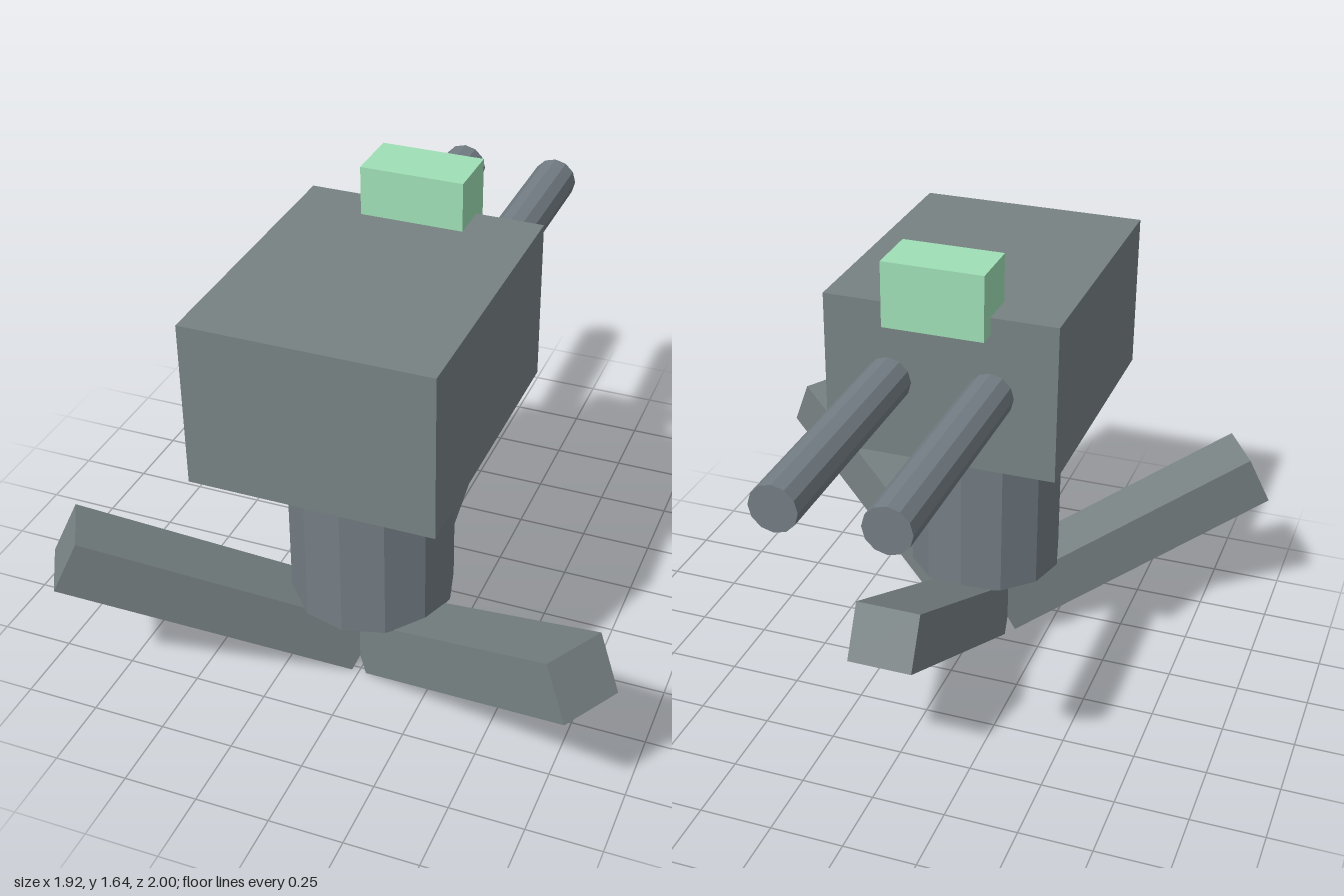
import * as THREE from 'three';

const AXIS_Z = 0.378; // vertical axis shared by the tripod, post and housing

export function createModel() {
  const model = new THREE.Group();
  model.name = 'turret';
  const paint = (color) => new THREE.MeshStandardMaterial({ color, flatShading: true });
  const steel = paint(0x788283);
  const gunmetal = paint(0x737d84);
  const green = paint(0x9fdfb6);

  const add = (name, geometry, material, x, y, z) => {
    const mesh = new THREE.Mesh(geometry, material);
    mesh.name = name;
    mesh.position.set(x, y, z);
    model.add(mesh);
    return mesh;
  };

  // Three splayed legs, each pivoting on its lower inner edge
  const legGeometry = new THREE.BoxGeometry(0.22, 0.196, 1.062)
    .translate(0, 0.098, -0.531)
    .rotateX(THREE.MathUtils.degToRad(26))
    .translate(0, 0, -0.093);
  ['backLeg', 'frontRightLeg', 'frontLeftLeg'].forEach((name, i) => {
    add(name, legGeometry, steel, 0, 0.004, AXIS_Z).rotation.y = (i * Math.PI * 2) / 3;
  });

  // Twelve-sided post
  add('post', new THREE.CylinderGeometry(0.276, 0.276, 0.635, 12), gunmetal, 0, 0.6125, AXIS_Z);

  // Housing
  add('housing', new THREE.BoxGeometry(0.8, 0.55, 0.98), steel, 0, 1.205, 0.375);

  // Twin barrels pointing backwards
  const barrelGeometry = new THREE.CylinderGeometry(0.079, 0.079, 0.9, 12).rotateX(Math.PI / 2);
  for (const side of [-1, 1]) {
    add(side < 0 ? 'rightBarrel' : 'leftBarrel', barrelGeometry, gunmetal, side * 0.176, 1.207, -0.55);
  }

  // Sensor block overhanging the rear top edge of the housing
  add('sensor', new THREE.BoxGeometry(0.346, 0.225, 0.197), green, 0, 1.533, -0.078);

  return model;
}
